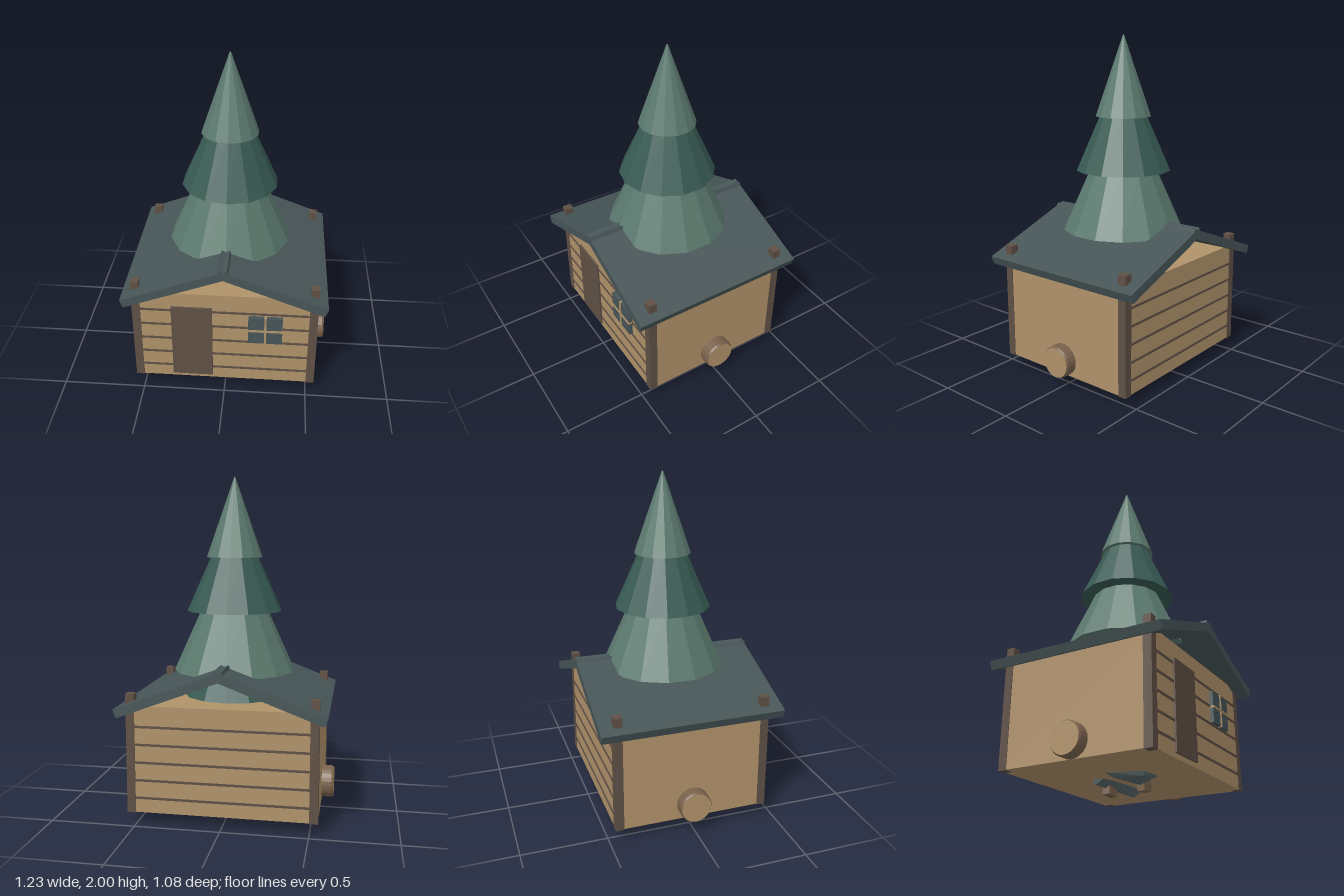
import * as THREE from 'three';
import { ConvexGeometry } from 'three/addons/geometries/ConvexGeometry.js';

const mat = (color) => new THREE.MeshStandardMaterial({ color, flatShading: true });

export function createModel() {
  const model = new THREE.Group();
  const wood = mat(0xb0926a);
  const darkWood = mat(0x5f5045);
  const bark = mat(0x7a624c);
  const slate = mat(0x475557);
  const paleGreen = mat(0x5c7a6f);
  const deepGreen = mat(0x385b53);
  const stone = mat(0x566567);

  const add = (name, geometry, material, x = 0, y = 0, z = 0) => {
    const mesh = new THREE.Mesh(geometry, material);
    mesh.name = name;
    mesh.position.set(x, y, z);
    model.add(mesh);
    return mesh;
  };
  // Box given by its limits on each axis
  const box = (name, material, [x0, x1], [y0, y1], [z0, z1]) =>
    add(name, new THREE.BoxGeometry(x1 - x0, y1 - y0, z1 - z0), material,
      (x0 + x1) / 2, (y0 + y1) / 2, (z0 + z1) / 2);

  // Cabin body with plank seams on the front and back
  box('cabinBody', wood, [-0.547, 0.547], [0.073, 0.7], [-0.46, 0.46]);
  for (const y of [0.16, 0.265, 0.37, 0.475, 0.58]) {
    for (const s of [-1, 1]) {
      add('plankSeam', new THREE.BoxGeometry(1.02, 0.013, 0.012), darkWood, 0, y, s * 0.459);
    }
  }

  // Corner posts that poke through the roof
  for (const sx of [-1, 1]) {
    for (const sz of [-1, 1]) {
      add('cornerPost', new THREE.BoxGeometry(0.05, 0.7, 0.05), darkWood, sx * 0.525, 0.42, sz * 0.438);
    }
  }

  // Two roof slabs crossing at the ridge
  for (const s of [-1, 1]) {
    const slab = add('roofSlab', new THREE.BoxGeometry(0.665, 0.052, 1.083), slate, s * 0.279, 0.787, 0);
    slab.rotation.z = -s * 0.36;
  }

  // Door
  box('door', darkWood, [-0.316, -0.072], [0.1, 0.608], [0.45, 0.472]);

  // Window: four panes and a cross of glazing bars
  for (const x of [0.19, 0.297]) {
    for (const y of [0.422, 0.52]) {
      add('windowPane', new THREE.BoxGeometry(0.095, 0.088, 0.025), slate, x, y, 0.47);
    }
  }
  box('windowBar', wood, [0.237, 0.25], [0.375, 0.567], [0.455, 0.488]);
  box('windowBar', wood, [0.14, 0.347], [0.465, 0.478], [0.455, 0.488]);

  // Log ends on both sides
  for (const s of [-1, 1]) {
    const profile = [[0.095, 0], [0.095, 0.07], [0.088, 0.082]].map(([r, h]) => new THREE.Vector2(r, h));
    const log = add('logBark', new THREE.LatheGeometry(profile, 24), bark, s * 0.535, 0.168, 0);
    const end = add('logEnd', new THREE.CircleGeometry(0.088, 24), wood, s * 0.617, 0.168, 0);
    log.rotation.z = -s * Math.PI / 2;
    end.rotation.y = s * Math.PI / 2;
  }

  // Tree tiers: [top radius, bottom radius, bottom y, top y, material]
  const tiers = [
    [0.215, 0.4, 0.5, 0.9, deepGreen],
    [0.195, 0.366, 0.85, 1.23, paleGreen],
    [0.135, 0.286, 1.21, 1.55, deepGreen],
    [0.004, 0.168, 1.53, 2.0, paleGreen],
  ];
  for (const [rTop, rBottom, y0, y1, material] of tiers) {
    add('treeTier', new THREE.CylinderGeometry(rTop, rBottom, y1 - y0, 14), material, 0, (y0 + y1) / 2, 0);
  }

  // Rocks and short pegs showing under the floor
  const rock = (points) => add('underRock',
    new ConvexGeometry(points.map((p) => new THREE.Vector3(...p))), stone);
  rock([
    [0.26, 0.075, -0.04], [0.2, 0.025, -0.07], [0.05, 0.04, -0.1], [-0.12, 0.045, -0.13],
    [0.22, 0.075, -0.09], [-0.13, 0.09, -0.16], [-0.12, 0.09, -0.05], [0.1, 0.09, -0.03],
  ]);
  rock([
    [-0.23, 0.075, 0.0], [-0.08, 0.022, 0.13], [-0.15, 0.05, 0.19], [-0.02, 0.075, 0.21],
    [0.0, 0.06, 0.13], [-0.16, 0.09, 0.21], [-0.06, 0.09, 0.04], [-0.2, 0.05, 0.03],
  ]);
  for (const s of [-1, 1]) {
    const peg = add('underPeg', new THREE.BoxGeometry(0.08, 0.06, 0.045), bark, 0, 0.034, s * 0.11);
    peg.rotation.z = s * 0.08;
  }

  return model;
}
